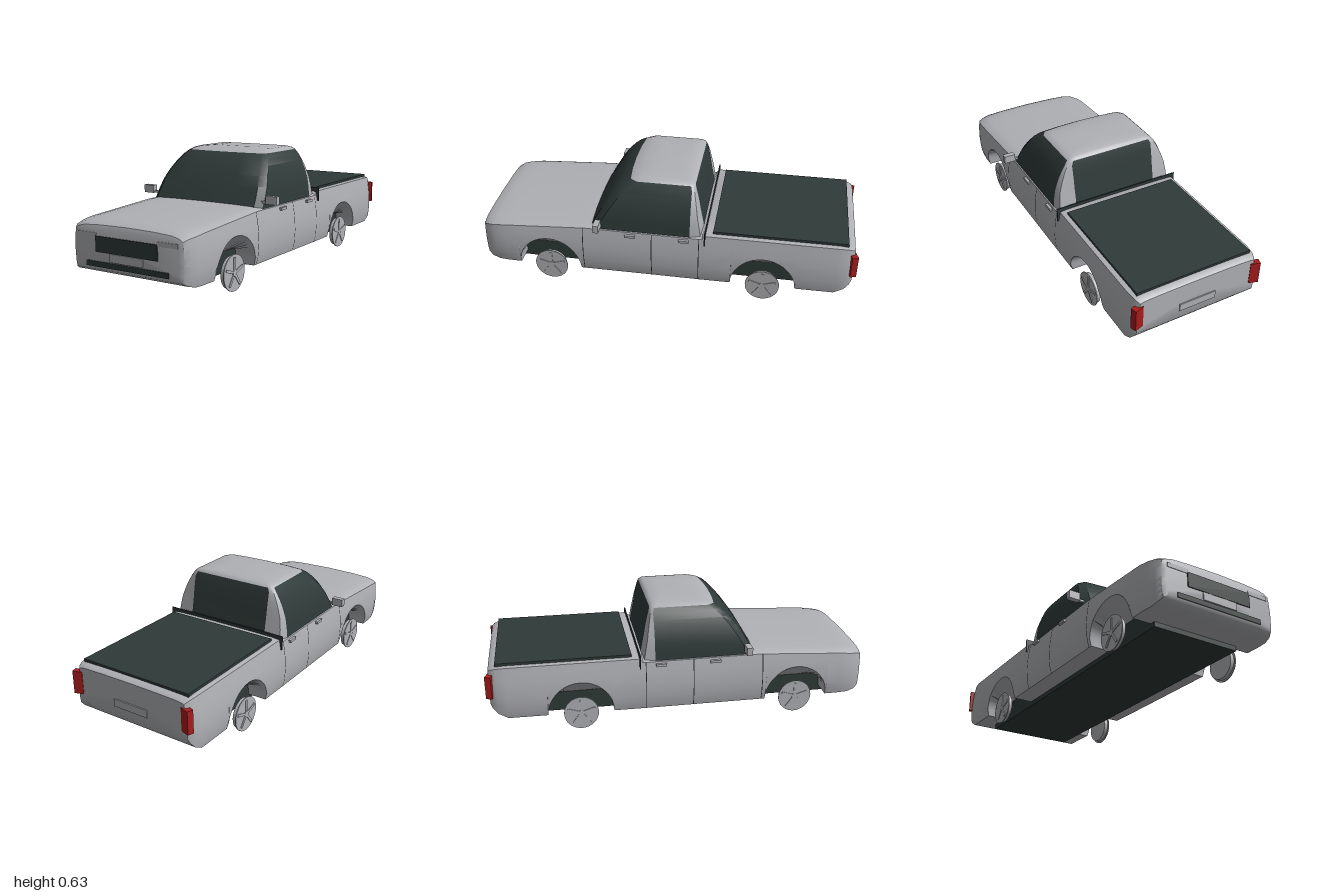
import * as THREE from 'three';
import { toCreasedNormals } from 'three/addons/utils/BufferGeometryUtils.js';

const mat = (name, color) => {
  const m = new THREE.MeshStandardMaterial({ color });
  m.name = name;
  return m;
};

// Skin closed rings of equal length; pick chooses which quads are kept
function loft(rings, { pick = () => true, start = false, end = false } = {}) {
  const n = rings[0].length, pos = rings.flat(2), idx = [];
  for (let i = 0; i < rings.length - 1; i++) {
    for (let j = 0; j < n; j++) {
      if (!pick(i, j)) continue;
      const k = (j + 1) % n;
      const a = i * n + j, b = i * n + k, c = b + n, d = a + n;
      idx.push(a, b, d, b, c, d);
    }
  }
  const cap = (row, flip) => {
    const c = pos.length / 3;
    for (let q = 0; q < 3; q++) pos.push(rings[row].reduce((s, p) => s + p[q], 0) / n);
    for (let j = 0; j < n; j++) {
      const a = row * n + j, b = row * n + (j + 1) % n;
      idx.push(c, flip ? b : a, flip ? a : b);
    }
  };
  if (start) cap(0, true);
  if (end) cap(rings.length - 1, false);
  const g = new THREE.BufferGeometry();
  g.setAttribute('position', new THREE.Float32BufferAttribute(pos, 3));
  g.setIndex(idx);
  return toCreasedNormals(g, 0.6);
}

// Half ring from centre to centre, completed by its mirror image in x
const mirrorRing = half => [...half, ...half.slice(1, -1).reverse().map(([x, y, z]) => [-x, y, z])];

// Linear lookup in rows sorted by descending key
function lookup(rows, key) {
  let i = 0;
  while (i < rows.length - 2 && key < rows[i + 1][0]) i++;
  const a = rows[i], b = rows[i + 1];
  const t = THREE.MathUtils.clamp((a[0] - key) / (a[0] - b[0]), 0, 1);
  return a.map((v, q) => v + (b[q] - v) * t);
}

// Body stations: z, top height, bottom height, half width, shoulder drop
const STATIONS = [
  [0.993, 0.312, 0.13, 0.300, 0.03], [0.985, 0.332, 0.115, 0.322, 0.03],
  [0.96, 0.343, 0.10, 0.340, 0.03], [0.92, 0.349, 0.09, 0.352, 0.03],
  [0.86, 0.353, 0.09, 0.358, 0.026], [0.42, 0.374, 0.09, 0.36, 0.02],
  [-0.205, 0.372, 0.09, 0.36, 0.02], [-0.22, 0.38, 0.09, 0.36, 0.008],
  [-0.90, 0.38, 0.095, 0.359, 0.008], [-0.95, 0.378, 0.125, 0.352, 0.01],
  [-0.975, 0.373, 0.155, 0.342, 0.012], [-0.985, 0.365, 0.18, 0.332, 0.012],
];
// Side bulge: height, fraction of half width
const BULGE = [[0.37, 0.945], [0.33, 0.965], [0.27, 0.99], [0.2, 1], [0.13, 0.985], [0.09, 0.955]];
const AXLES = [0.62, -0.53], ARCH = 0.17;

function bodyHalf(z) {
  let [, top, bottom, w, d] = lookup(STATIONS, z);
  for (const c of AXLES) {
    const s = ARCH * ARCH - (z - c) ** 2;
    if (s > -1e-6) bottom = 0.10 + Math.sqrt(Math.max(0, s));
  }
  const half = [[0, top], [0.5, top - 0.1 * d], [0.8, top - 0.3 * d], [0.91, top - 0.6 * d]].map(([x, y]) => [x * w, y, z]);
  for (let i = 0; i <= 7; i++) {
    const y = THREE.MathUtils.lerp(top - d, bottom, i / 7);
    half.push([lookup(BULGE, y)[1] * w, y, z]);
  }
  const inner = Math.min(bottom, 0.17);
  half.push([0.24, inner, z], [0, inner, z]);
  return half;
}

function cabRings() {
  // height, half width, front z, rear z
  return [
    [0.35, 0.338, 0.41, -0.205], [0.41, 0.333, 0.375, -0.195], [0.46, 0.325, 0.345, -0.185],
    [0.51, 0.308, 0.31, -0.177], [0.555, 0.288, 0.272, -0.168], [0.59, 0.267, 0.235, -0.16],
    [0.612, 0.25, 0.20, -0.153], [0.622, 0.238, 0.175, -0.145],
    [0.629, 0.215, 0.14, -0.13], [0.634, 0.13, 0.08, -0.09],
  ].map(([y, w, f, r]) => mirrorRing([
    [0, f], [0.5 * w, f - 0.004], [0.9 * w, f - 0.015], [w, f - 0.05],
    [w, Math.max(-0.14, r + 0.02)], [0.97 * w, r + 0.008], [Math.min(0.235, 0.9 * w), r], [0, r],
  ].map(([x, z]) => [x, y, z])));
}

export function createModel() {
  const truck = new THREE.Group();
  truck.name = 'pickupTruck';
  const paint = mat('silverPaint', 0xb0b1b5);
  const dark = mat('darkTrim', 0x2f3a38);
  const red = mat('tailRed', 0xa81c1c);
  const seam = mat('seamBlack', 0x1c2120);
  seam.side = THREE.DoubleSide;

  const add = (name, geo, material, x = 0, y = 0, z = 0, parent = truck) => {
    const m = new THREE.Mesh(geo, material);
    m.name = name;
    m.position.set(x, y, z);
    parent.add(m);
    return m;
  };
  const box = (name, material, w, h, d, x, y, z, parent) =>
    add(name, new THREE.BoxGeometry(w, h, d), material, x, y, z, parent);

  // Lower body with wheel arches
  const zs = STATIONS.map(s => s[0]);
  for (const c of AXLES) {
    zs.push(c + ARCH + 0.001, c - ARCH - 0.001);
    for (let i = 0; i <= 18; i++) zs.push(c + ARCH * Math.cos(Math.PI * i / 18));
  }
  zs.sort((a, b) => b - a);
  add('body', loft(zs.map(z => mirrorRing(bodyHalf(z))), { start: true, end: true }), paint);
  box('underbody', dark, 0.484, 0.115, 1.64, 0, 0.1225, 0);

  // Cab: glass panes, then roof and rear pillars
  const rings = cabRings();
  const isGlass = (i, j) => {
    const s = j < 7 ? j : 13 - j;
    return i < 6 && (s < 4 || s === 6);
  };
  add('cabGlass', loft(rings, { pick: isGlass }), dark);
  add('roofAndPillars', loft(rings, { pick: (i, j) => !isGlass(i, j), end: true }), paint);

  // Bed cover and the divider behind the cab
  box('bedCover', dark, 0.632, 0.02, 0.69, 0, 0.379, -0.605);
  box('bedDivider', dark, 0.714, 0.075, 0.006, 0, 0.358, -0.22);

  // Front end
  box('grille', dark, 0.364, 0.075, 0.008, 0, 0.24, 0.994);
  box('lowerGrille', dark, 0.484, 0.026, 0.008, 0, 0.144, 0.993);
  box('frontPlate', paint, 0.194, 0.04, 0.008, 0, 0.181, 0.994);

  // Tailgate panel
  box('rearPlate', paint, 0.2, 0.04, 0.009, 0, 0.235, -0.986);

  for (const s of [1, -1]) {
    const side = new THREE.Group();
    side.name = s > 0 ? 'leftDetails' : 'rightDetails';
    truck.add(side);
    box('headlight', paint, 0.115, 0.022, 0.008, s * 0.235, 0.281, 0.992, side);
    box('tailLight', red, 0.05, 0.12, 0.032, s * 0.329, 0.275, -0.98, side).rotation.y = s * 0.3;
    box('mirror', paint, 0.062, 0.042, 0.03, s * 0.384, 0.402, 0.34, side);
    box('mirrorArm', paint, 0.04, 0.012, 0.014, s * 0.342, 0.388, 0.34, side);
    for (const z of [0.175, -0.11]) box('doorHandle', paint, 0.014, 0.014, 0.055, s * 0.352, 0.335, z, side);

    // Door seams follow the side of the body
    for (const z of [0.43, 0.06, -0.19]) {
      const line = bodyHalf(z).slice(4, 12), pos = [], idx = [];
      line.forEach(([x, y], i) => {
        for (const o of [-0.002, 0.002]) pos.push(s * (x + 0.001), y, z + o);
        if (i) idx.push(2 * i - 2, 2 * i - 1, 2 * i, 2 * i - 1, 2 * i + 1, 2 * i);
      });
      const g = new THREE.BufferGeometry();
      g.setAttribute('position', new THREE.Float32BufferAttribute(pos, 3));
      g.setIndex(idx);
      g.computeVertexNormals();
      add('doorSeam', g, seam, 0, 0, 0, side);
    }

    // Wheels: rim, thin face and five raised spokes
    for (const z of AXLES) {
      const wheel = new THREE.Group();
      wheel.name = 'wheel';
      wheel.position.set(s * 0.33, 0.09, z);
      side.add(wheel);
      const drum = (name, r, h, x) =>
        add(name, new THREE.CylinderGeometry(r, r, h, 32), paint, s * x, 0, 0, wheel).rotation.z = Math.PI / 2;
      drum('rim', 0.08, 0.024, -0.003);
      drum('wheelFace', 0.09, 0.005, 0.008);
      drum('hub', 0.016, 0.006, 0.012);
      for (let i = 0; i < 5; i++) {
        const a = i * Math.PI * 2 / 5;
        box('spoke', paint, 0.004, 0.066, 0.014, s * 0.012, 0.042 * Math.cos(a), 0.042 * Math.sin(a), wheel).rotation.x = a;
      }
    }
  }
  return truck;
}
